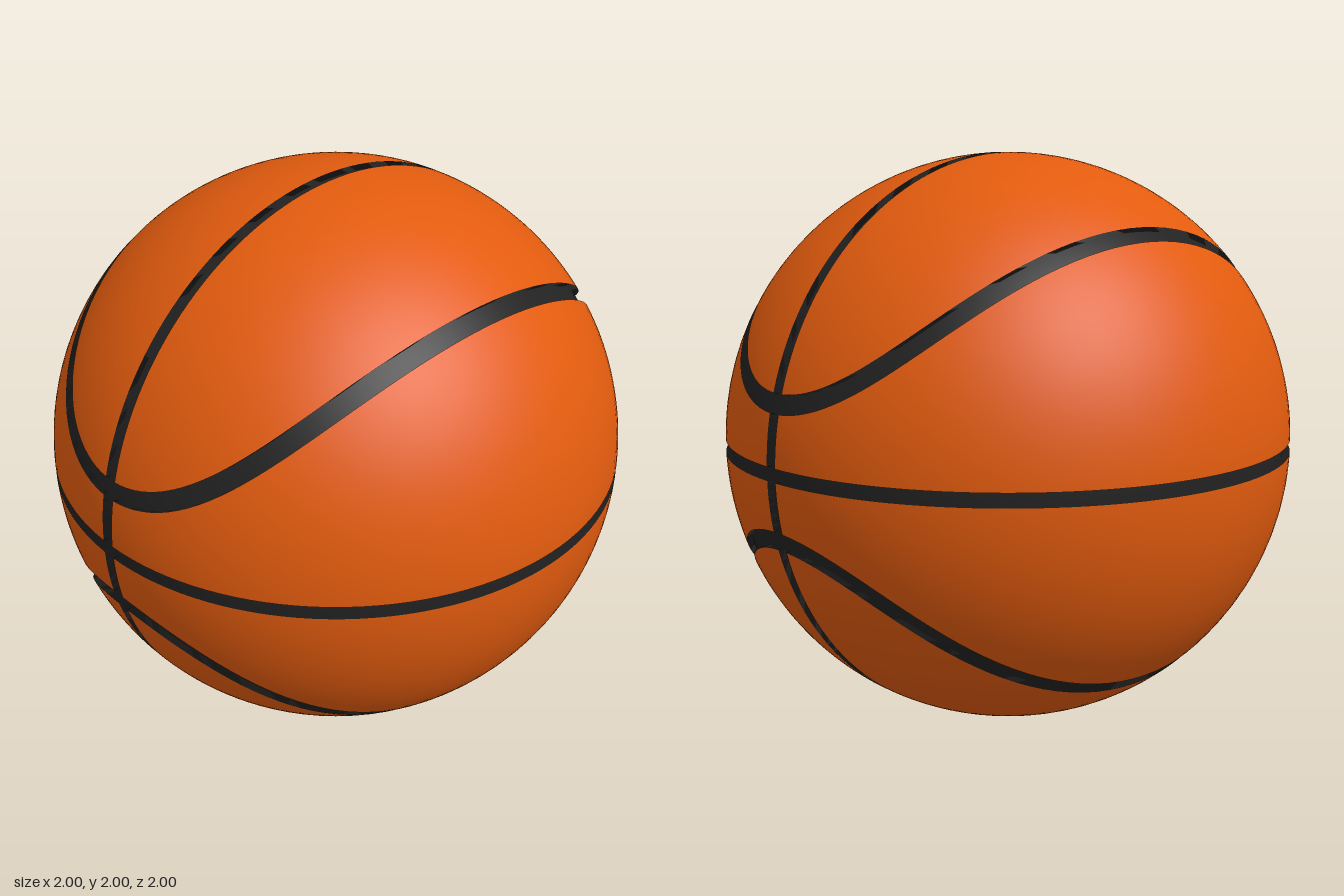
import * as THREE from 'three';

const ORANGE = new THREE.MeshStandardMaterial({ color: 0xe25b0e });
ORANGE.name = 'orange rubber';
const BLACK = new THREE.MeshStandardMaterial({ color: 0x222222 });
BLACK.name = 'black seam';

const STRAIGHT = 0.023; // half width of the equator and meridian seams
const CURVED = 0.032;   // half width of the curved seams
const FLOOR = 0.98;     // radius of the groove floor
const XMAX = 0.66732;   // where the curved seam crosses z = 0
const COLS = 64, ROWS = 24;

const V = (x, y, z) => new THREE.Vector3(x, y, z);

// Curved seam on the unit sphere, running from front (t = 0) to back (t = PI)
function seam(t) {
  const x = XMAX * Math.sin(t);
  const y = 0.225 + 0.9 * x * x + 0.6 * x ** 4;
  const z = Math.sqrt(Math.max(0, 1 - x * x - y * y));
  return V(x, y, Math.cos(t) < 0 ? -z : z).normalize();
}

// The same seam shifted sideways along the sphere (positive is up)
function seamEdge(t, shift) {
  const p = seam(t);
  const tangent = seam(t + 0.01).sub(seam(t - 0.01));
  const side = p.clone().cross(tangent).normalize();
  return p.addScaledVector(side, shift).normalize();
}

const T0 = Math.asin(STRAIGHT / XMAX);
const seamSide = (shift) => (u) => seamEdge(T0 + u * (Math.PI - 2 * T0), shift);

// Panel borders as functions of u, from front to back
const belowSeam = seamSide(-CURVED);
const aboveSeam = seamSide(CURVED);
const RING = Math.sqrt(1 - STRAIGHT * STRAIGHT);

function equatorEdge(u) {
  const start = Math.asin(STRAIGHT / RING);
  const a = start + u * (Math.PI - 2 * start);
  return V(RING * Math.sin(a), STRAIGHT, RING * Math.cos(a));
}

function meridianEdge(u) {
  const corner = aboveSeam(0);
  const start = Math.atan2(corner.y, corner.z);
  const a = start + u * (Math.PI - 2 * start);
  return V(STRAIGHT, RING * Math.sin(a), RING * Math.cos(a));
}

// Curved patch between two borders, with a rim dropping into the groove
function panelGeometry(lower, upper, sx, sy) {
  const pos = [], nor = [], skin = [], rim = [];
  const stride = ROWS + 3;
  for (let i = -1; i <= COLS + 1; i++) {
    const u = THREE.MathUtils.clamp(i / COLS, 0, 1);
    const a = lower(u), b = upper(u);
    for (let j = -1; j <= ROWS + 1; j++) {
      const v = THREE.MathUtils.clamp(j / ROWS, 0, 1);
      const n = a.clone().lerp(b, v).normalize().multiply(V(sx, sy, 1));
      const outside = i < 0 || j < 0 || i > COLS || j > ROWS;
      const p = n.clone().multiplyScalar(outside ? FLOOR - 0.005 : 1);
      pos.push(p.x, p.y, p.z);
      nor.push(n.x, n.y, n.z);
    }
  }
  for (let i = 0; i < COLS + 2; i++) {
    for (let j = 0; j < ROWS + 2; j++) {
      const a = i * stride + j, b = a + stride, c = b + 1, d = a + 1;
      const edge = i === 0 || j === 0 || i === COLS + 1 || j === ROWS + 1;
      const quad = sx * sy > 0 ? [a, b, c, a, c, d] : [a, c, b, a, d, c];
      (edge ? rim : skin).push(...quad);
    }
  }
  const g = new THREE.BufferGeometry();
  g.setAttribute('position', new THREE.Float32BufferAttribute(pos, 3));
  g.setAttribute('normal', new THREE.Float32BufferAttribute(nor, 3));
  g.setIndex([...skin, ...rim]);
  g.addGroup(0, skin.length, 0);
  g.addGroup(skin.length, rim.length, 1);
  return g;
}

export function createModel() {
  const model = new THREE.Group();
  model.name = 'ball';

  // Black core that shows as the groove floor
  const core = new THREE.Mesh(new THREE.SphereGeometry(FLOOR, 96, 64), BLACK);
  core.name = 'seamCore';
  core.position.y = 1;
  model.add(core);

  // Eight orange panels, mirrored left/right and top/bottom
  const addPanel = (name, lower, upper, sx, sy) => {
    const mesh = new THREE.Mesh(panelGeometry(lower, upper, sx, sy), [ORANGE, BLACK]);
    mesh.name = (sy > 0 ? 'upper' : 'lower') + (sx > 0 ? 'Left' : 'Right') + name;
    mesh.position.y = 1;
    model.add(mesh);
  };
  for (const sx of [1, -1]) {
    for (const sy of [1, -1]) {
      addPanel('SidePanel', equatorEdge, belowSeam, sx, sy);
      addPanel('CapPanel', aboveSeam, meridianEdge, sx, sy);
    }
  }
  return model;
}
